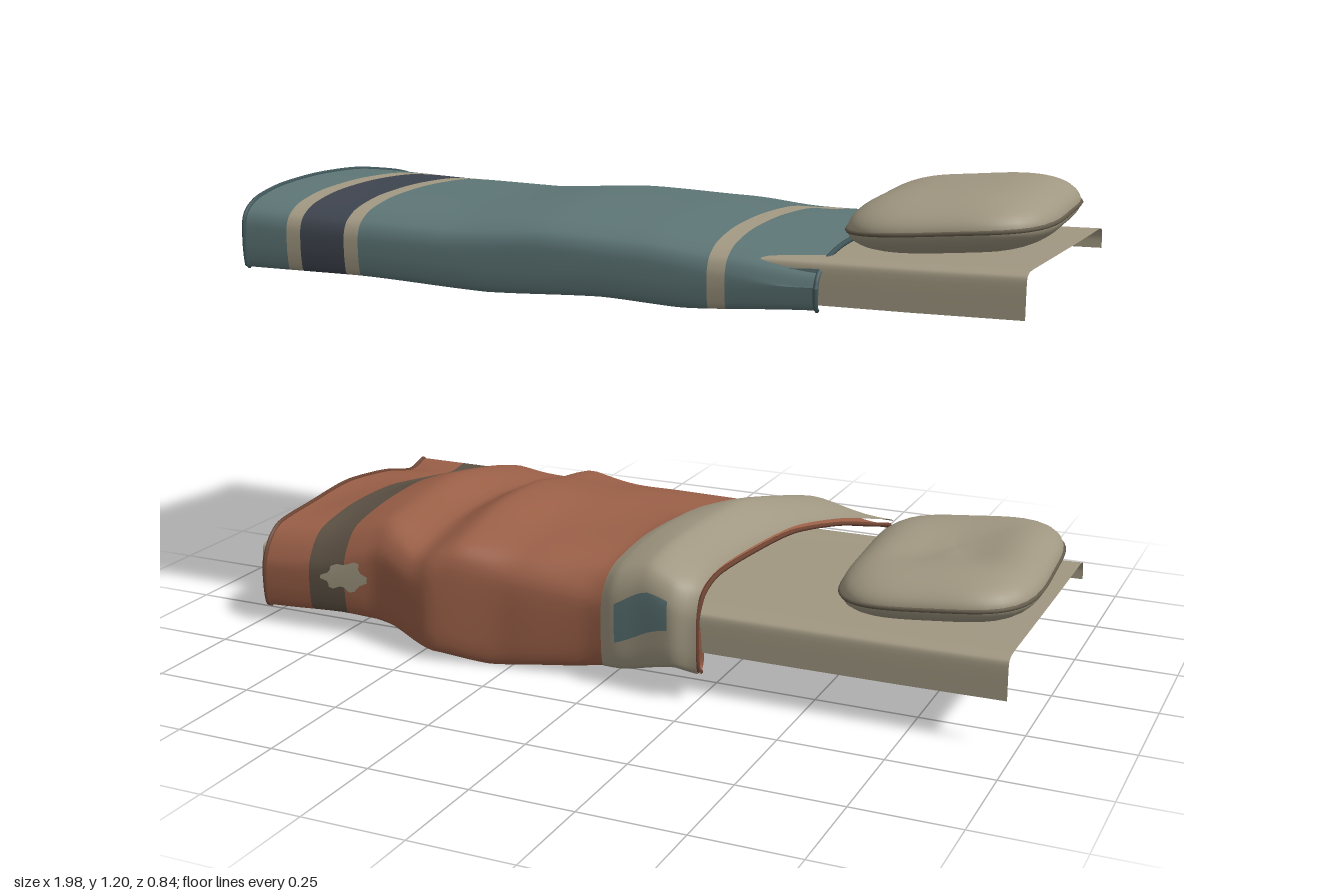
import * as THREE from 'three';

const mat = (name, color, side = THREE.DoubleSide) => {
  const m = new THREE.MeshStandardMaterial({ color, side });
  m.name = name;
  return m;
};

// Smooth interpolation through [x, value] pairs
const along = (pts) => (x) => {
  if (x <= pts[0][0]) return pts[0][1];
  for (let i = 1; i < pts.length; i++) {
    const [x0, a] = pts[i - 1], [x1, b] = pts[i];
    if (x <= x1) {
      const t = (x - x0) / (x1 - x0);
      return THREE.MathUtils.lerp(a, b, 0.5 * t + 0.5 * t * t * (3 - 2 * t));
    }
  }
  return pts[pts.length - 1][1];
};

// Grid surface from a function of s, t in 0..1 giving a Vector3
function surface(name, material, ns, nt, f) {
  const pos = [], idx = [];
  for (let i = 0; i <= ns; i++)
    for (let j = 0; j <= nt; j++) pos.push(...f(i / ns, j / nt).toArray());
  for (let i = 0; i < ns; i++)
    for (let j = 0; j < nt; j++) {
      const a = i * (nt + 1) + j, b = a + nt + 1;
      idx.push(a, a + 1, b, b, a + 1, b + 1);
    }
  const g = new THREE.BufferGeometry();
  g.setAttribute('position', new THREE.Float32BufferAttribute(pos, 3));
  g.setIndex(idx);
  g.computeVertexNormals();
  const mesh = new THREE.Mesh(g, material);
  mesh.name = name;
  return mesh;
}

// Point on a cross-section: list of [z, y] controls, v counted in controls
function sectionPoint(ctrl, v) {
  const curve = new THREE.CatmullRomCurve3(ctrl.map(([z, y]) => new THREE.Vector3(0, y, z)), false, 'catmullrom', 0.4);
  return curve.getPoint(THREE.MathUtils.clamp(v / (ctrl.length - 1), 0, 1));
}

// Upper blanket: smooth arch with a straight hanging front
const upTop = along([[-0.98, 1.142], [-0.7, 1.132], [-0.4, 1.126], [-0.15, 1.141], [0.1, 1.132], [0.3, 1.112], [0.52, 1.088]]);
const upLow = along([[-0.98, 0.947], [-0.65, 0.948], [-0.3, 0.935], [0, 0.947], [0.2, 0.938], [0.52, 0.957]]);
function upper(u, v) {
  const T = upTop(u), B = upLow(u);
  const p = sectionPoint([
    [-0.415, 1.055], [-0.405, Math.max(1.07, T - 0.06)], [-0.3, T - 0.03], [-0.12, T - 0.004], [0.05, T], [0.2, T - 0.01],
    [0.3, T - 0.03], [0.345, T - 0.055], [0.36, T - 0.085], [0.362, B + 0.05], [0.357, B + 0.008],
    [0.348, B], [0.341, B + 0.015], [0.34, B + 0.09]], v);
  p.x = u + 0.03 * THREE.MathUtils.smoothstep(-p.z, -0.3, 0.35);
  return p;
}

// Lower blanket: rumpled, with its head edge slanting towards the back
const loTop = along([[-0.97, 0.293], [-0.8, 0.303], [-0.62, 0.352], [-0.5, 0.318], [-0.38, 0.364], [-0.22, 0.335], [-0.02, 0.318], [0.13, 0.365], [0.25, 0.325]]);
const loLow = along([[-0.97, 0.055], [-0.75, 0.065], [-0.6, 0.06], [-0.45, 0.03], [-0.3, 0.008], [-0.1, 0.028], [0.05, 0.055], [0.2, 0.09], [0.25, 0.075]]);
const loFront = along([[-0.97, 0.358], [-0.65, 0.352], [-0.45, 0.413], [-0.25, 0.375], [-0.05, 0.355], [0.08, 0.37], [0.2, 0.388], [0.25, 0.37]]);
function lower(u, v, lift = 0) {
  const T = loTop(u) + lift, B = loLow(u), F = loFront(u) + lift;
  const head = THREE.MathUtils.smoothstep(u, 0, 0.3);
  const r = (z) => 0.006 * Math.sin(16 * u + 9 * z);
  const p = sectionPoint([
    [-0.41, 0.232 + lift], [-0.4, 0.262 - 0.02 * head + lift], [-0.33, T - 0.05 - 0.02 * head + r(-0.33)],
    [-0.2, T - 0.025 - 0.01 * head + r(-0.2)], [-0.02, T + r(0)], [0.15, T - 0.01 + r(0.15)],
    [0.28, T - 0.03], [F - 0.03, T - 0.06], [F, T - 0.115],
    [F + 0.002, B + 0.06], [F - 0.005, B + 0.012], [F - 0.02, B], [F - 0.032, B + 0.02], [F - 0.035, B + 0.1]], v);
  const w = Math.pow(Math.max(0, (0.37 - p.z) / 0.78), 1.3);
  p.x = u + 0.02 * w + 0.2 * w * THREE.MathUtils.smoothstep(u, -0.25, 0.27);
  return p;
}

// Fitted sheet with a long front drop and a short back drop
function sheet(material, y) {
  const ctrl = [[-0.417, y - 0.06], [-0.417, y - 0.03], [-0.4, y - 0.01], [-0.3, y - 0.008], [-0.1, y - 0.006],
    [0.15, y - 0.002], [0.29, y], [0.325, y - 0.004], [0.337, y - 0.02], [0.338, y - 0.1]];
  return surface('sheet', material, 8, 45, (s, t) => {
    const p = sectionPoint(ctrl, t * 9);
    p.x = -0.99 + 1.965 * s;
    p.y += 0.004 * Math.pow(2 * s - 1, 4);
    return p;
  });
}

// Cushioned pillow with a rounded-square outline and a seam
function pillow(material, pipingMaterial, dent) {
  const g = new THREE.Group();
  g.name = 'pillow';
  const rim = (a, k) => {
    const c = Math.cos(a), s = Math.sin(a);
    const rho = Math.pow(Math.abs(c) ** 3.8 + Math.abs(s) ** 3.8, -1 / 3.8);
    return new THREE.Vector3(0.238 * rho * c * k, 0.02 * c * k, 0.318 * rho * s * k);
  };
  const geo = new THREE.SphereGeometry(1, 56, 32);
  const p = geo.attributes.position;
  for (let i = 0; i < p.count; i++) {
    const y = p.getY(i), r = Math.hypot(p.getX(i), p.getZ(i));
    const a = Math.atan2(p.getZ(i), p.getX(i));
    const q = rim(a, Math.pow(r, 0.75));
    q.y += y * (y > 0 ? 0.085 : 0.07);
    if (y > 0) q.y -= dent * Math.exp(-r * r * 5) * (1 + 0.3 * Math.sin(3 * a) * r);
    p.setXYZ(i, q.x, q.y, q.z);
  }
  geo.computeVertexNormals();
  const body = new THREE.Mesh(geo, material);
  body.name = 'pillowBody';
  const loop = Array.from({ length: 48 }, (_, i) => rim(i / 48 * Math.PI * 2, 1));
  const seam = new THREE.Mesh(new THREE.TubeGeometry(new THREE.CatmullRomCurve3(loop, true), 96, 0.005, 6, true), pipingMaterial);
  seam.name = 'pillowSeam';
  g.add(body, seam);
  g.rotation.y = 0.06;
  return g;
}

// Thin rolled hem along a blanket end
function hem(name, material, f, u, vEnd) {
  const pts = Array.from({ length: 40 }, (_, i) => f(u, i / 39 * vEnd));
  const m = new THREE.Mesh(new THREE.TubeGeometry(new THREE.CatmullRomCurve3(pts), 80, 0.006, 6), material);
  m.name = name;
  return m;
}

export function createModel() {
  const cream = mat('cream linen', 0xa19882);
  const piping = mat('dark piping', 0x655d4d);
  const teal = mat('teal wool', 0x5d7576);
  const darkTeal = mat('dark teal hem', 0x40565a);
  const navy = mat('navy stripe', 0x3e444e);
  const rust = mat('rust wool', 0x9a5f47);
  const brown = mat('brown stripe', 0x5d5144);
  const darkRust = mat('dark rust hem', 0x6e4433);

  const root = new THREE.Group();
  root.name = 'bunkBedding';

  // Upper bunk
  const top = new THREE.Group();
  top.name = 'upperBunk';
  top.add(sheet(cream, 1.066));
  const bands = [[-0.975, -0.85, teal], [-0.85, -0.81, cream], [-0.81, -0.685, navy], [-0.685, -0.645, cream],
    [-0.645, 0.265, teal], [0.265, 0.308, cream], [0.308, 0.52, teal]];
  for (const [a, b, m] of bands)
    top.add(surface('blanketBand', m, Math.max(3, Math.ceil((b - a) * 40)), 65,
      (s, t) => upper(a + (b - a) * s, t * 13)));
  top.add(hem('footHem', darkTeal, upper, -0.975, 11), hem('headHem', darkTeal, upper, 0.52, 11));
  const topPillow = pillow(cream, piping, 0.006);
  topPillow.position.set(0.738, 1.128, -0.045);
  top.add(topPillow);

  // Lower bunk
  const low = new THREE.Group();
  low.name = 'lowerBunk';
  low.add(sheet(cream, 0.217));
  for (const [a, b, m] of [[-0.97, -0.835, rust], [-0.835, -0.73, brown], [-0.73, 0.25, rust]])
    low.add(surface('rumpledBlanket', m, Math.ceil((b - a) * 50), 65,
      (s, t) => lower(a + (b - a) * s, t * 13)));
  low.add(hem('footHem', darkRust, lower, -0.97, 11), hem('headHem', darkRust, lower, 0.25, 11));

  // Turned-back lining over the head end
  low.add(surface('turnedBackLining', cream, 20, 65, (s, t) => {
    const u = 0.255 * s;
    return lower(u, 0.5 + 10.8 * t, 0.006 + 0.01 * Math.min(1, s * 8));
  }));

  // Cloth patches on the hanging side
  low.add(surface('bluePatch', teal, 8, 8, (s, t) =>
    lower(0.045 + 0.145 * s, 8.2 - 0.3 * s + (0.66 + 0.04 * s) * t, 0.021)));
  const edge = [1, 0.8, 0.9, 0.55, 0.85, 0.7, 0.95, 0.75, 1, 0.8, 0.95, 0.75];
  low.add(surface('tornPatch', cream, 24, 5, (s, t) => {
    const r = edge[Math.floor(s * 12) % 12] * (1 - t), a = s * Math.PI * 2;
    return lower(-0.73 + 0.072 * r * Math.cos(a), 8.5 + 0.45 * r * Math.sin(a), 0.006);
  }));

  const lowPillow = pillow(cream, piping, 0.035);
  lowPillow.position.set(0.742, 0.278, -0.045);
  low.add(lowPillow);

  root.add(top, low);
  return root;
}
